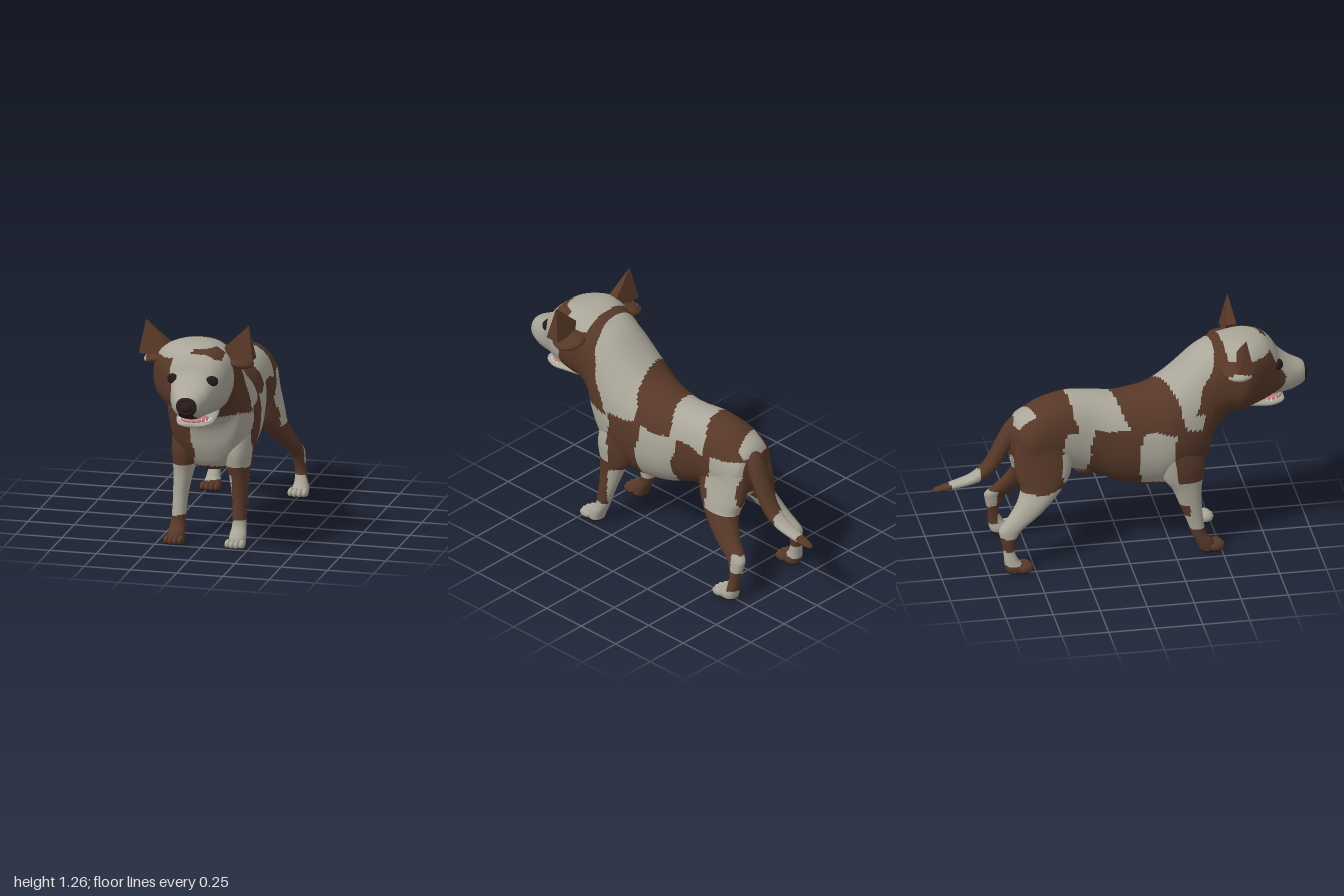
import * as THREE from 'three';

const mat = (name, color) => {
  const m = new THREE.MeshStandardMaterial({ color });
  m.name = name;
  return m;
};
const white = mat('coat white', 0xaaa699), brown = mat('coat brown', 0x573828);
const dark = mat('nose and pads', 0x2b1c1c), eyeDark = mat('eye', 0x231818);
const pink = mat('tongue', 0xc27a7b), ivory = mat('teeth', 0xe2ddd0);
const COAT = [white, brown, dark];
const W = 0, B = 1, D = 2;
const MID = 0.0125; // mirror plane of the limbs
const flip = (x, s) => (s > 0 ? x : 2 * MID - x);
const within = (v, a, b) => v > a && v < b;

// Patches of the trunk, head and upper legs
function bodyCoat(x, y, z) {
  // Nose tip and the dark wedge down to the lip
  if (z > 0.976 || (z > 0.87 && y < 0.89 && Math.abs(x - 0.042) < 0.03 + (0.89 - y) * 0.3)) return D;
  const w = 0.01 * Math.sin(17 * y + 9 * x) + 0.005 * Math.sin(41 * y);
  const h = 0.008 * Math.sin(19 * z + 2) + 0.005 * Math.sin(37 * z + 5 * x);
  const zz = z + w, yy = y + h;
  const collar = 0.33 + (yy - 0.73) * 0.375 + (x < -0.1 && yy < 0.82 ? 0.05 : 0);
  if (yy > 0.73 && zz > collar) {
    if (yy > 1.095 && zz > 0.53) // crown, with a patch over one eye
      return within(x, 0.025 + h, 0.175) && within(zz, 0.67, 0.78) && y < 1.15 ? B : W;
    if (x < -0.075 + w) return yy > 0.83 || z < 0.68 ? B : W;
    return zz > 0.66 ? W : B;
  }
  if (yy > 0.73) {
    if (zz > 0.21 - 0.4 * x) return W;
    if (within(zz, -0.29 - 0.25 * x, -0.04 - 0.3 * x)) return W;
    return zz < -0.48 - 0.3 * x && within(x, -0.08, 0.1) && y > 0.75 ? W : B;
  }
  if (y < 0.38 && zz > 0.2 && within(x, -0.04, 0.07)) return W;
  if (x > -0.065 + w && zz > 0.3 && yy > 0.42) return yy < 0.72 ? W : B;
  if (x > 0.02) {
    const lean = (0.6 - y) * 0.1;
    if (within(zz, -0.13 + lean, 0.1 + lean)) return W;
    return within(zz, -0.57, -0.38) && yy > 0.41 ? W : B;
  }
  if (within(zz, 0.08, 0.26) && within(yy, 0.39, 0.71)) return W;
  return within(zz, -0.33, -0.18) && yy > 0.46 ? W : B;
}

function frontLegCoat(x, y, z) {
  if (y < 0.009) return D;
  if (y > 0.41) return bodyCoat(x, y, z);
  const yy = y + 0.008 * Math.sin(30 * z + 20 * x);
  if (x > 0) {
    const rear = yy < 0.37 && z < 0.31 + (0.38 - y) * 0.1;
    return yy < 0.135 || rear || (x < 0.138 && yy < 0.38) ? W : B;
  }
  return yy < 0.14 || (z < 0.335 && within(yy, 0.21, 0.27)) ? B : W;
}

function hindLegCoat(x, y, z) {
  if (y < 0.009) return D;
  if (y > 0.43) return bodyCoat(x, y, z);
  const yy = y + 0.008 * Math.sin(30 * z + 20 * x);
  if (x > 0) {
    if (z < -0.625 && within(yy, 0.16, 0.26)) return W;
    return yy < (z > -0.62 ? 0.1 : 0.05) ? W : B;
  }
  return within(yy, 0.2, 0.42) || within(yy, 0.05, 0.13) ? W : B;
}

const tailCoat = (x, y, z) => (within(z + 0.2 * (x - 0.04), -0.91, -0.755) ? W : B);

// Sorts the faces, two triangles at a time, into one material group per colour
function paint(geo, rule) {
  const p = geo.attributes.position, idx = Array.from(geo.index.array), sets = [[], [], []];
  for (let i = 0; i < idx.length; i += 6) {
    const t = idx.slice(i, i + 6);
    const mean = k => t.reduce((sum, v) => sum + p.getComponent(v, k), 0) / 6;
    sets[rule(mean(0), mean(1), mean(2))].push(...t);
  }
  geo.setIndex(sets.flat());
  let start = 0;
  sets.forEach((s, m) => {
    if (s.length) geo.addGroup(start, s.length, m);
    start += s.length;
  });
  return geo;
}

const spline = (a, b, c, d, t) =>
  b + 0.5 * t * (c - a + t * (2 * a - 5 * b + 4 * c - d + t * (3 * (b - c) + d - a)));

// Lofts rows of [position, centre x, low, high, half width, squareness].
// axis 'z': rows run forward; axis 'y': rows run downward.
function loft(rows, axis, sub, seg) {
  const rings = [];
  for (let i = 0; i < rows.length - 1; i++) {
    const q = [i - 1, i, i + 1, i + 2].map(k => rows[Math.min(Math.max(k, 0), rows.length - 1)]);
    for (let s = 0; s < sub; s++)
      rings.push(rows[0].map((_, k) => spline(q[0][k], q[1][k], q[2][k], q[3][k], s / sub)));
  }
  rings.push(rows[rows.length - 1]);
  const pos = [], idx = [];
  const put = (x, v, a) => (axis === 'z' ? pos.push(x, v, a) : pos.push(x, a, v));
  for (const [a, cx, lo, hi, hw, p = 0.92] of rings)
    for (let j = 0; j < seg; j++) {
      const t = (j / seg) * Math.PI * 2, c = Math.cos(t), n = Math.sin(t);
      const e = n < 0 ? Math.max(p, 0.92) : p; // rounder underside
      put(cx + hw * Math.sign(c) * Math.abs(c) ** e,
        (lo + hi) / 2 + (hi - lo) / 2 * Math.sign(n) * Math.abs(n) ** e, a);
    }
  const last = (rings.length - 1) * seg, pole = rings.length * seg;
  for (const r of [rings[0], rings[rings.length - 1]]) put(r[1], (r[2] + r[3]) / 2, r[0]);
  for (let o = 0; o < last; o += seg)
    for (let j = 0; j < seg; j++) {
      const k = (j + 1) % seg;
      idx.push(o + j, o + k, o + seg + j, o + k, o + seg + k, o + seg + j);
    }
  for (let j = 0; j < seg; j++) idx.push(pole, (j + 1) % seg, j);
  for (let j = 0; j < seg; j++) idx.push(pole + 1, last + j, last + (j + 1) % seg);
  const g = new THREE.BufferGeometry();
  g.setAttribute('position', new THREE.Float32BufferAttribute(pos, 3));
  g.setIndex(idx);
  g.computeVertexNormals();
  return g;
}

const ball = (x, y, z, a, b, c) =>
  new THREE.SphereGeometry(1, 24, 16).scale(a, b, c).translate(x, y, z);

export function createModel() {
  const dog = new THREE.Group();
  const add = (name, geo, material, parent = dog) => {
    const m = new THREE.Mesh(geo, material);
    m.name = name;
    parent.add(m);
  };

  // Trunk, neck and head
  add('body', paint(loft([
    [-0.595, 0.02, 0.6, 0.72, 0.04, 0.95], [-0.56, 0.015, 0.52, 0.79, 0.12, 0.95],
    [-0.5, 0.01, 0.47, 0.83, 0.152, 0.95], [-0.42, 0.015, 0.46, 0.87, 0.16, 0.92],
    [-0.286, 0.025, 0.47, 0.896, 0.155, 0.9], [-0.15, 0.03, 0.425, 0.885, 0.157, 0.9],
    [-0.02, 0.025, 0.375, 0.874, 0.183, 0.9], [0.14, 0.018, 0.345, 0.906, 0.208, 0.9],
    [0.25, 0.012, 0.36, 0.976, 0.221, 0.9], [0.38, 0.01, 0.405, 1.094, 0.217, 0.9],
    [0.44, 0.01, 0.5, 1.13, 0.207, 0.85], [0.48, 0.008, 0.64, 1.145, 0.2, 0.8],
    [0.55, 0.004, 0.735, 1.16, 0.203, 0.78], [0.62, 0.0, 0.76, 1.167, 0.221, 0.77],
    [0.68, 0.008, 0.775, 1.165, 0.21, 0.77], [0.75, 0.025, 0.788, 1.145, 0.175, 0.77],
    [0.8, 0.035, 0.8, 1.1, 0.14, 0.78], [0.84, 0.04, 0.803, 1.04, 0.118, 0.8],
    [0.9, 0.043, 0.813, 0.99, 0.098, 0.8], [0.96, 0.046, 0.838, 0.96, 0.07, 0.85],
    [0.985, 0.046, 0.86, 0.942, 0.042, 0.9]], 'z', 11, 144), bodyCoat), COAT);
  add('underbelly', ball(0.025, 0.445, -0.18, 0.035, 0.03, 0.07), brown);

  // Tail
  add('tail', paint(loft([
    [-1, 0.04, 0.373, 0.381, 0.008], [-0.97, 0.04, 0.372, 0.394, 0.022],
    [-0.9, 0.04, 0.38, 0.415, 0.033], [-0.79, 0.04, 0.4, 0.455, 0.042],
    [-0.714, 0.038, 0.428, 0.535, 0.046], [-0.66, 0.035, 0.475, 0.645, 0.05],
    [-0.607, 0.03, 0.57, 0.742, 0.055], [-0.55, 0.025, 0.67, 0.79, 0.06]], 'z', 8, 32), tailCoat), COAT);

  // Legs with toes
  const hind = [
    [0.78, 0.09, -0.5, -0.38, 0.03], [0.7, 0.1, -0.56, -0.32, 0.06], [0.6, 0.105, -0.585, -0.28, 0.072],
    [0.5, 0.125, -0.58, -0.29, 0.075], [0.43, 0.145, -0.56, -0.33, 0.07], [0.36, 0.178, -0.585, -0.4, 0.058],
    [0.3, 0.203, -0.63, -0.47, 0.047], [0.24, 0.225, -0.685, -0.555, 0.038], [0.2, 0.233, -0.685, -0.59, 0.034],
    [0.13, 0.242, -0.67, -0.61, 0.03], [0.07, 0.25, -0.665, -0.59, 0.036], [0.03, 0.25, -0.66, -0.555, 0.045],
    [0, 0.25, -0.65, -0.56, 0.04]];
  const fore = [
    [0.72, 0.13, 0.2, 0.35, 0.05], [0.6, 0.148, 0.17, 0.4, 0.07], [0.5, 0.153, 0.18, 0.42, 0.074],
    [0.42, 0.156, 0.2, 0.41, 0.064], [0.36, 0.163, 0.245, 0.4, 0.052], [0.25, 0.172, 0.29, 0.4, 0.04],
    [0.16, 0.175, 0.325, 0.41, 0.037], [0.1, 0.178, 0.345, 0.42, 0.038], [0.05, 0.178, 0.37, 0.46, 0.045],
    [0, 0.178, 0.39, 0.47, 0.043]];
  for (const s of [1, -1]) {
    const side = s > 0 ? 'left' : 'right';
    for (const [kind, rows, rule] of [['HindLeg', hind, hindLegCoat], ['FrontLeg', fore, frontLegCoat]]) {
      const leg = new THREE.Group();
      leg.name = side + kind;
      dog.add(leg);
      add('limb', paint(loft(rows.map(([y, x, ...r]) => [y, flip(x, s), ...r]), 'y', 8, 40), rule), COAT, leg);
      const [, x, , front] = rows[rows.length - 1];
      [-1.5, -0.5, 0.5, 1.5].forEach(k => add('toe', paint(
        ball(flip(x + k * 0.025, s), 0.024, front + 0.018 - Math.abs(k) * 0.01, 0.017, 0.024, 0.036),
        rule), COAT, leg));
    }

    // Upright pointed ear, thinning to its tip, over a folded flap
    const outline = [[0.32, 1.08], [0.29, 1.26], [0.165, 1.14], [0.19, 1.08]];
    const ear = new THREE.ExtrudeGeometry(
      new THREE.Shape(outline.map(([x, y]) => new THREE.Vector2(flip(x, s), y))),
      { depth: 0.08, bevelEnabled: false }).translate(0, 0, -0.04);
    const p = ear.attributes.position;
    for (let i = 0; i < p.count; i++) p.setZ(i, 0.615 + p.getZ(i) * (1.262 - p.getY(i)) / 0.18);
    ear.computeVertexNormals();
    add(side + 'Ear', ear, brown);
    const flap = ball(0, 0, 0, 0.088, 0.032, 0.09).rotateZ(-0.25 * s).translate(flip(0.222, s), 1.058, 0.585);
    add(side + 'EarFlap', paint(flap, (x, y) => (x < -0.262 && y < 1.065 ? W : B)), COAT);

    // Eye
    add(side + 'Eye', ball(0.038 + s * 0.094, 1.002, 0.812, 0.043, 0.032, 0.036), eyeDark);
  }

  // Nose, lower jaw, tongue and teeth
  add('nose', ball(0.046, 0.898, 0.962, 0.046, 0.036, 0.038), dark);
  add('lowerJaw', loft([
    [0.6, 0.03, 0.765, 0.81, 0.1], [0.7, 0.035, 0.757, 0.805, 0.108], [0.78, 0.04, 0.745, 0.787, 0.098],
    [0.84, 0.042, 0.75, 0.782, 0.075], [0.866, 0.043, 0.76, 0.776, 0.045]], 'z', 6, 40), white);
  add('tongue', ball(0.04, 0.787, 0.785, 0.075, 0.016, 0.075), pink);
  for (let i = 0; i < 11; i++) {
    const a = (i / 10) * Math.PI;
    add('tooth', new THREE.ConeGeometry(0.007, i === 3 || i === 7 ? 0.035 : 0.02, 8)
      .translate(0.042 + 0.083 * Math.cos(a), 0.791, 0.765 + 0.085 * Math.sin(a)), ivory);
  }
  return dog;
}
